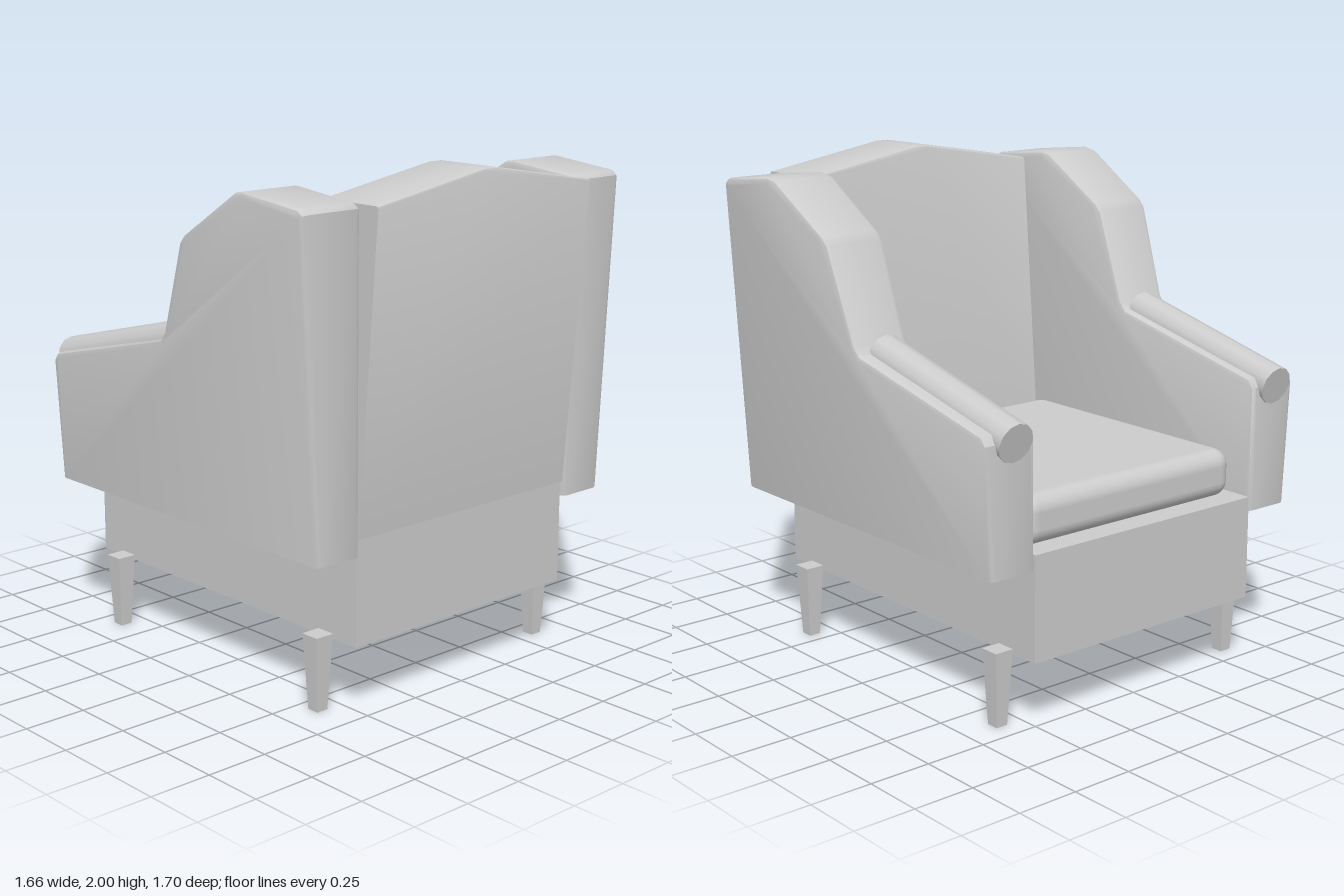
import * as THREE from 'three';
import { toCreasedNormals } from 'three/addons/utils/BufferGeometryUtils.js';
import { RoundedBoxGeometry } from 'three/addons/geometries/RoundedBoxGeometry.js';

// Extrude an outline with a bevel that stays inside the outline and depth.
function bevelled(points, depth, bevel) {
  const shape = new THREE.Shape(points.map(([a, b]) => new THREE.Vector2(a, b)));
  const geo = new THREE.ExtrudeGeometry(shape, {
    depth: depth - 2 * bevel, bevelEnabled: true, bevelThickness: bevel,
    bevelSize: bevel, bevelOffset: -bevel, bevelSegments: 2
  });
  return geo.translate(0, 0, bevel - depth / 2);
}

// Move every vertex by a rule, then rebuild the normals.
function reshape(geo, rule) {
  const pos = geo.attributes.position;
  const v = new THREE.Vector3();
  for (let i = 0; i < pos.count; i++) {
    v.fromBufferAttribute(pos, i);
    rule(v);
    pos.setXYZ(i, v.x, v.y, v.z);
  }
  geo.computeVertexNormals();
  return toCreasedNormals(geo, 0.6);
}

export function createModel() {
  const chair = new THREE.Group();
  chair.name = 'wingArmchair';
  const grey = new THREE.MeshStandardMaterial({ color: 0xcccccc });
  grey.name = 'lightGrey';

  const add = (name, geo, x = 0, y = 0, z = 0) => {
    const mesh = new THREE.Mesh(geo, grey);
    mesh.name = name;
    mesh.position.set(x, y, z);
    chair.add(mesh);
    return mesh;
  };

  // Seat base and cushion
  add('seatBase', new THREE.BoxGeometry(1.11, 0.415, 1.555), 0, 0.4875, -0.0325);
  add('seatCushion', new RoundedBoxGeometry(1.07, 0.195, 1.145, 3, 0.065), 0, 0.785, -0.1675);

  // Reclined backrest with a shallow peak; only its top edges are softened
  const backOutline = [[-0.555, 0.695], [0.555, 0.695], [0.555, 1.91], [0.03, 1.998], [-0.03, 1.998], [-0.555, 1.91]];
  const back = reshape(bevelled(backOutline, 0.29, 0.012), v => {
    if (Math.abs(v.x) > 0.54) v.x = Math.sign(v.x) * 0.555;
    if (v.y < 0.71) v.y = 0.695;
    v.z += 0.61 + (Math.min(v.y, 1.91) - 0.695) * 0.078;
  });
  add('backrest', back);

  // Wing and arm profile as [z, y]
  const armProfile = [
    [0.765, 0.635], [0.765, 1.895], [0.74, 1.915], [0.45, 1.946], [0.4, 1.937],
    [0.105, 1.757], [0.075, 1.725], [-0.055, 1.365], [-0.085, 1.332],
    [-0.785, 1.168], [-0.81, 1.135], [-0.81, 0.635]
  ];
  const bevel = 0.022, armWidth = 0.205;

  for (const side of [1, -1]) {
    const label = side > 0 ? 'left' : 'right';

    // Arm panel, its outer face leaning outwards towards the top
    const arm = bevelled(armProfile.map(([z, y]) => [-z, y]), armWidth, bevel).rotateY(Math.PI / 2);
    add(label + 'WingArm', reshape(arm, v => {
      if (v.y < 0.635 + bevel + 0.004) v.y = 0.635;
      const outer = v.x * side > 0;
      v.x += side * (0.555 + armWidth / 2);
      if (outer) v.x += side * (v.y - 0.635) * 0.055;
    }));

    // Sloping roll on top of the arm
    const roll = add(label + 'ArmRoll', new THREE.CylinderGeometry(0.077, 0.077, 0.79, 12), side * 0.665, 1.228, -0.45);
    roll.rotation.x = Math.PI / 2 - 0.243;

    // Square tapered legs
    for (const [end, z] of [['front', -0.645], ['rear', 0.58]]) {
      const leg = new THREE.CylinderGeometry(0.04 * Math.SQRT2, 0.025 * Math.SQRT2, 0.3, 4)
        .rotateY(Math.PI / 4).toNonIndexed();
      leg.computeVertexNormals();
      add(label + (end === 'front' ? 'FrontLeg' : 'RearLeg'), leg, side * 0.595, 0.15, z);
    }
  }
  return chair;
}
